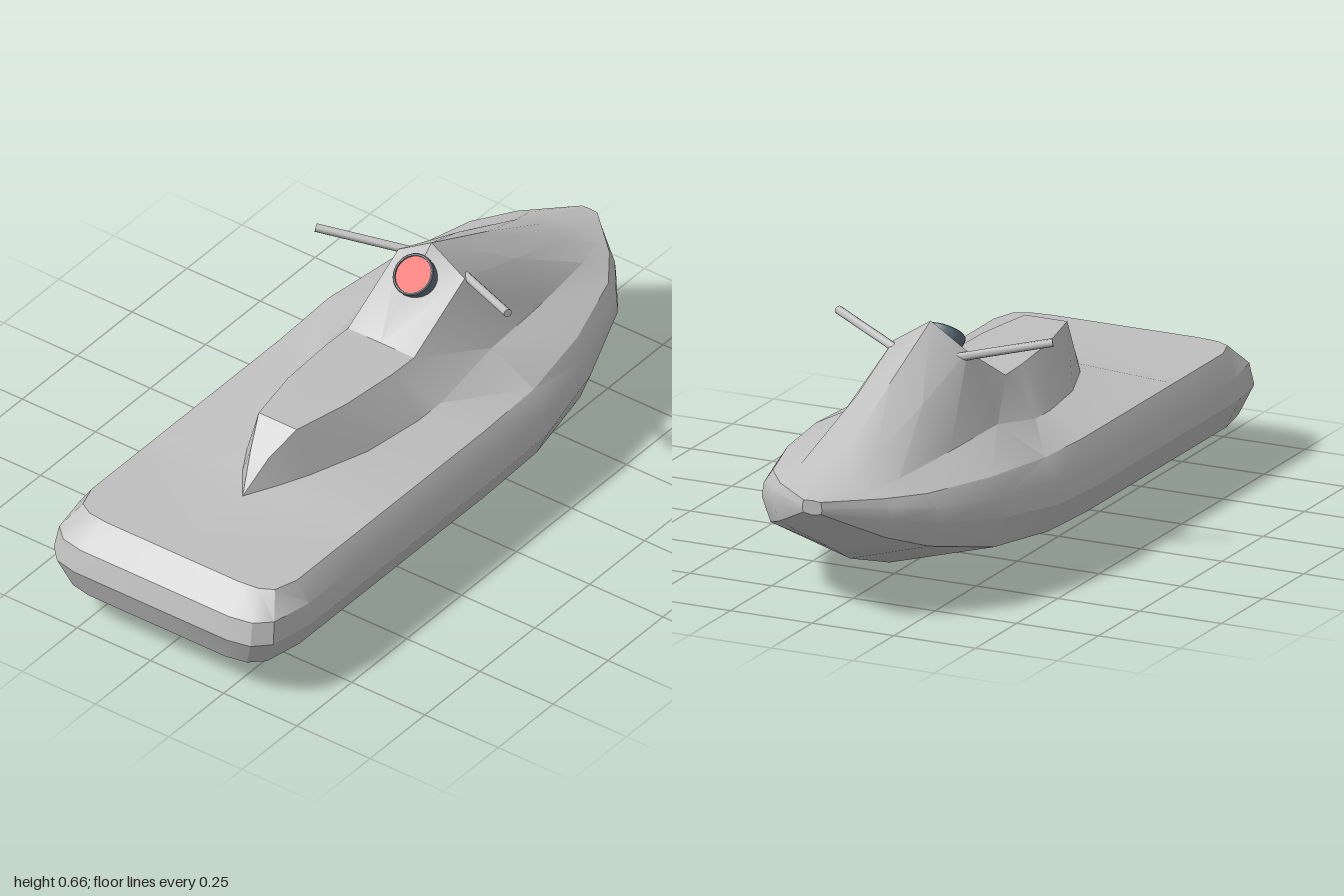
import * as THREE from 'three';
import { toCreasedNormals } from 'three/addons/utils/BufferGeometryUtils.js';

const mat = (name, color) => {
  const m = new THREE.MeshStandardMaterial({ color });
  m.name = name;
  return m;
};

// Stations from bow (-z) to stern: widest half-width and z
const plan = [
  [0.03, -1], [0.18, -0.88], [0.27, -0.77], [0.355, -0.53], [0.4, -0.28], [0.4, -0.05],
  [0.4, 0.05], [0.4, 0.24], [0.4, 0.42], [0.4, 0.5], [0.4, 0.58], [0.4, 0.8],
  [0.375, 0.94], [0.33, 0.985], [0.26, 1], [0, 1],
];

// Hull lines from keel to deck edge: width scale, stern overhang scale, heights from bow aft
const lines = [
  { w: 0, stern: 0.1, y: [0.31, 0.18, 0.12, 0.04, 0.01, 0] },
  { w: 0.9, stern: 0.85, y: [0.315, 0.235, 0.19, 0.13, 0.11, 0.1] },
  { w: 1, stern: 1, y: [0.325, 0.285, 0.26, 0.22, 0.195, 0.185] },
  { w: 0.978, stern: 0.9, y: [0.335, 0.32, 0.3, 0.275, 0.26, 0.25] },
  { w: 0.875, stern: 0.5, y: [0.35, 0.345, 0.34, 0.33, 0.32, 0.31] },
];

// Hood and seat above the deck: base x, y, shoulder x, y, centre y
const upper = [
  [0.018, 0.35, 0.01, 0.351, 0.352], [0.115, 0.36, 0.055, 0.374, 0.38],
  [0.15, 0.37, 0.075, 0.418, 0.435], [0.185, 0.385, 0.1, 0.505, 0.552],
  [0.205, 0.395, 0.113, 0.59, 0.662], [0.205, 0.345, 0.113, 0.457, 0.457],
  [0.2, 0.34, 0.113, 0.46, 0.46], [0.172, 0.337, 0.1, 0.466, 0.466],
  [0.105, 0.332, 0.065, 0.47, 0.47], [0.06, 0.325, 0.032, 0.41, 0.41],
];

function section(i) {
  const [px, pz] = plan[i];
  const pts = lines.map(({ w, stern, y }) => new THREE.Vector3(
    px * w, y[Math.min(i, y.length - 1)], pz > 0.8 ? 0.8 + (pz - 0.8) * stern : pz));
  const z = pts[4].z;
  const [bx, by, sx, sy, cy] = upper[i] ?? [0, 0.31, 0, 0.31, 0.31];
  pts.push(new THREE.Vector3(bx, by, z), new THREE.Vector3(sx, sy, z), new THREE.Vector3(0, cy, z));
  return pts;
}

// Skin both halves of the sections into one creased shell
function bodyGeometry() {
  const pos = [];
  const rows = plan.map((_, i) => section(i));
  for (const side of [1, -1]) {
    const tri = (a, b, c) => {
      const area = b.clone().sub(a).cross(c.clone().sub(a)).length();
      if (area < 1e-7) return;
      for (const p of side > 0 ? [a, b, c] : [a, c, b]) pos.push(p.x * side, p.y, p.z);
    };
    for (let i = 0; i < rows.length - 1; i++) {
      for (let j = 0; j < rows[i].length - 1; j++) {
        const a = rows[i][j], b = rows[i][j + 1], c = rows[i + 1][j + 1], d = rows[i + 1][j];
        tri(a, b, c);
        tri(a, c, d);
      }
    }
    // Blunt bow tip
    const bow = rows[0];
    for (let j = 1; j < bow.length - 1; j++) tri(bow[0], bow[j + 1], bow[j]);
  }
  const g = new THREE.BufferGeometry();
  g.setAttribute('position', new THREE.Float32BufferAttribute(pos, 3));
  return toCreasedNormals(g, 0.5);
}

export function createModel() {
  const model = new THREE.Group();
  model.name = 'waterScooter';
  const bodyGrey = mat('bodyGrey', 0xbfbfbf);
  const gaugeSteel = mat('gaugeSteel', 0x5f6f79);
  const dialRed = mat('dialRed', 0xe02410);

  const add = (name, geometry, material, parent = model) => {
    const mesh = new THREE.Mesh(geometry, material);
    mesh.name = name;
    parent.add(mesh);
    return mesh;
  };

  add('hullHoodAndSeat', bodyGeometry(), bodyGrey);

  // Handlebars sweep outward, up and back
  for (const side of [1, -1]) {
    const from = new THREE.Vector3(0.08 * side, 0.575, -0.315);
    const to = new THREE.Vector3(0.328 * side, 0.621, -0.19);
    const dir = to.clone().sub(from);
    const bar = add(side > 0 ? 'leftHandlebar' : 'rightHandlebar',
      toCreasedNormals(new THREE.CylinderGeometry(0.012, 0.012, dir.length(), 10), 0.8), bodyGrey);
    bar.position.copy(from).addScaledVector(dir, 0.5);
    bar.quaternion.setFromUnitVectors(new THREE.Vector3(0, 1, 0), dir.normalize());
  }

  // Round gauge tilted to the cowl, with a recessed dial
  const gauge = new THREE.Group();
  gauge.name = 'gauge';
  gauge.position.set(0, 0.606, -0.194);
  gauge.rotation.x = 0.725;
  model.add(gauge);
  const profile = [[0.056, -0.05], [0.061, -0.012], [0.061, -0.003], [0.058, 0], [0.054, 0], [0.053, -0.007]]
    .map(([x, y]) => new THREE.Vector2(x, y));
  add('gaugeHousing', toCreasedNormals(new THREE.LatheGeometry(profile, 24), 0.5), gaugeSteel, gauge);
  const dial = add('gaugeDial', new THREE.CircleGeometry(0.0535, 24), dialRed, gauge);
  dial.rotation.x = -Math.PI / 2;
  dial.position.y = -0.005;

  return model;
}
